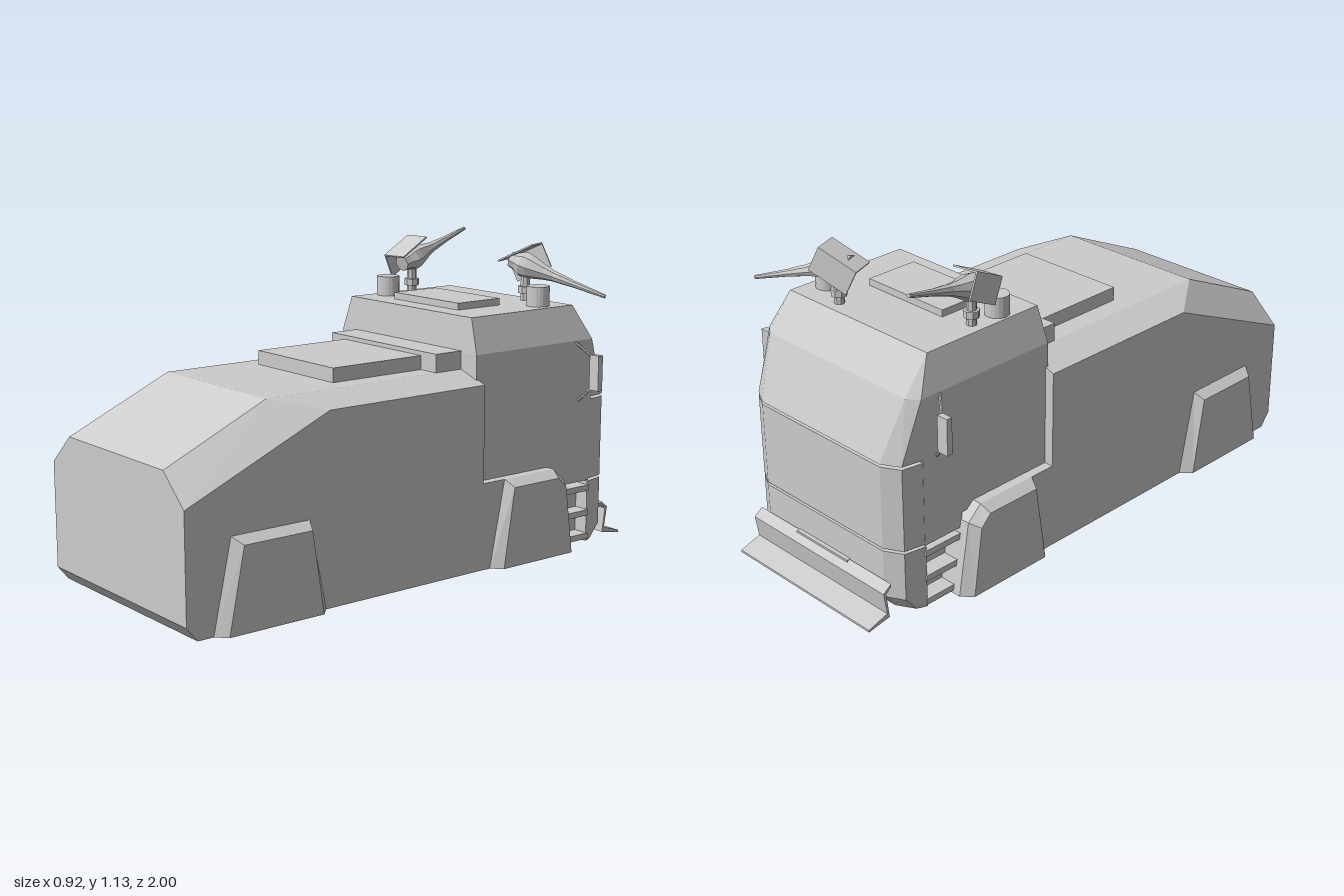
import * as THREE from 'three';
import { ConvexGeometry } from 'three/addons/geometries/ConvexGeometry.js';

const mat = new THREE.MeshStandardMaterial({ color: 0xcccccc, flatShading: true });
const thin = new THREE.MeshStandardMaterial({ color: 0xcccccc, flatShading: true, side: THREE.DoubleSide });

export function createModel() {
  const model = new THREE.Group();
  const add = (name, geo, parent = model, m = mat) => {
    const mesh = new THREE.Mesh(geo, m);
    mesh.name = name;
    parent.add(mesh);
    return mesh;
  };
  // Box from its limits
  const box = (name, x0, x1, y0, y1, z0, z1, parent) =>
    add(name, new THREE.BoxGeometry(x1 - x0, y1 - y0, z1 - z0), parent)
      .position.set((x0 + x1) / 2, (y0 + y1) / 2, (z0 + z1) / 2);
  // Convex solid, symmetric in x
  const hull = (name, pts) =>
    add(name, new ConvexGeometry(pts.flatMap(([x, y, z]) =>
      [new THREE.Vector3(x, y, z), new THREE.Vector3(-x, y, z)])));
  // Side profile of [z, y] points, extruded from x0 to x1
  const slab = (name, pts, x0, x1) => {
    const shape = new THREE.Shape(pts.map(([z, y]) => new THREE.Vector2(-z, y)));
    const g = new THREE.ExtrudeGeometry(shape, { depth: x1 - x0, bevelEnabled: false });
    add(name, g.rotateY(Math.PI / 2).translate(x0, 0, 0));
  };
  const rod = (name, a, b, r) => add(name, new THREE.TubeGeometry(
    new THREE.LineCurve3(new THREE.Vector3(...a), new THREE.Vector3(...b)), 1, r, 6));

  // Wheel arch outlines [z, y], from rear foot to front foot
  const arches = [
    { outer: [[0.9, 0.015], [0.83, 0.33], [0.525, 0.33], [0.46, 0.015]],
      inner: [[0.865, 0.015], [0.805, 0.305], [0.54, 0.305], [0.495, 0.015]] },
    { outer: [[-0.265, 0.015], [-0.33, 0.33], [-0.57, 0.33], [-0.625, 0.28], [-0.67, 0.015]],
      inner: [[-0.3, 0.015], [-0.345, 0.305], [-0.56, 0.305], [-0.6, 0.265], [-0.635, 0.015]] },
  ];

  // Rear body above the wheels
  hull('rearBody', [
    [0.41, 0.305, 1], [0.41, 0.44, 1], [0.295, 0.545, 1], [0.295, 0.72, 0.61], [0.41, 0.68, 0.44],
    [0.41, 0.305, -0.23], [0.41, 0.68, -0.23], [0.295, 0.72, -0.23],
  ]);
  // Lower body: solid spine, with notched strips at the sides for the wheel wells
  slab('underbodySpine', [[1, 0.33], [1, 0.065], [0.96, 0.015], [-0.64, 0.015], [-0.64, 0.33]], -0.1, 0.1);
  const strip = [[1, 0.33], [1, 0.065], [0.96, 0.015], ...arches[0].inner, ...arches[1].inner,
    [-0.67, 0.015], [-0.625, 0.28], [-0.57, 0.33]];
  slab('leftLowerBody', strip, 0.1, 0.41);
  slab('rightLowerBody', strip, -0.41, -0.1);

  // Flared arch panels
  for (const side of [1, -1]) {
    arches.forEach(({ outer, inner }, k) => {
      const pos = [];
      const tri = (a, b, c) => pos.push(...a, ...(side > 0 ? [...b, ...c] : [...c, ...b]));
      const o = outer.map(([z, y]) => [side * 0.41, y, z]);
      const n = inner.map(([z, y]) => [side * 0.447, y, z]);
      for (let i = 0; i < o.length - 1; i++) {
        tri(o[i], n[i], n[i + 1]);
        tri(o[i], n[i + 1], o[i + 1]);
        if (i > 0) tri(n[0], n[i + 1], n[i]);
      }
      const g = new THREE.BufferGeometry();
      g.setAttribute('position', new THREE.Float32BufferAttribute(pos, 3));
      g.computeVertexNormals();
      add(k ? 'frontWheelArch' : 'rearWheelArch', g, model, thin);
    });
  }

  // Cab
  box('cabWalls', -0.375, 0.375, 0.305, 0.57, -0.785, -0.22);
  hull('cabTop', [
    [0.375, 0.565, -0.22], [0.375, 0.78, -0.22], [0.335, 0.905, -0.23], [0.335, 0.905, -0.72],
    [0.375, 0.78, -0.785], [0.335, 0.78, -0.815], [0.375, 0.565, -0.785], [0.36, 0.565, -0.86],
    [0.295, 0.565, -0.895],
  ]);
  // Nose panels, split by narrow gaps over a recessed core
  const nose = (name, y0, y1, cut = 0) => hull(name, [y0, y0 + cut, y1].flatMap((y, i) => {
    const d = i === 0 ? cut * 0.8 : 0;
    return [[0.375, y, -0.78], [0.36, y, -0.86 + d], [0.295, y, -0.895 + d]];
  }));
  nose('noseMiddle', 0.255, 0.555);
  nose('noseBumper', 0.015, 0.245, 0.055);
  box('noseCore', -0.29, 0.29, 0.1, 0.6, -0.88, -0.7);
  box('cabSill', -0.375, 0.375, 0.25, 0.31, -0.785, -0.62);
  box('stepWell', -0.32, 0.32, 0.015, 0.26, -0.785, -0.635);

  // Entry steps and mirrors
  for (const s of [1, -1]) {
    for (const y of [0.025, 0.115, 0.21])
      box('entryStep', s * 0.345 - 0.035, s * 0.345 + 0.035, y, y + 0.022, -0.785, -0.63);
    box('mirror', s * 0.437 - 0.022, s * 0.437 + 0.022, 0.602, 0.732, -0.757, -0.735);
    rod('mirrorUpperArm', [s * 0.365, 0.78, -0.7], [s * 0.425, 0.72, -0.745], 0.005);
    rod('mirrorLowerArm', [s * 0.365, 0.55, -0.72], [s * 0.425, 0.615, -0.745], 0.005);
    box('ploughBracket', s * 0.09 - 0.02, s * 0.09 + 0.02, 0.05, 0.12, -0.92, -0.87);
  }
  box('ploughCrossbar', -0.13, 0.13, 0.1, 0.14, -0.91, -0.88);

  // Plough blade: folded sheet
  slab('ploughBlade', [[-0.9, 0.14], [-0.933, 0.115], [-0.92, 0.035], [-1, 0.01], [-1, 0.002],
    [-0.91, 0.018], [-0.922, 0.11], [-0.9, 0.13]], -0.335, 0.335);

  // Roof boxes, hatches and vents
  box('bodyRoofBox', -0.295, 0.295, 0.7, 0.785, -0.23, -0.105);
  box('bodyRoofHatch', -0.22, 0.215, 0.7, 0.77, -0.11, 0.28);
  box('cabRoofHatch', -0.18, 0.175, 0.9, 0.93, -0.51, -0.31);
  for (const [x, z] of [[-0.285, -0.365], [0.27, -0.61]])
    add('roofVent', new THREE.CylinderGeometry(0.042, 0.042, 0.08, 20)).position.set(x, 0.937, z);

  // Water cannons with corner shields
  const cannon = (name, x, z, yaw, pitch) => {
    const g = new THREE.Group();
    g.name = name;
    g.position.set(x, 1.035, z);
    g.rotation.y = yaw;
    model.add(g);
    add('pedestal', new THREE.CylinderGeometry(0.018, 0.018, 0.13, 8), g).position.y = -0.07;
    add('pedestalCollar', new THREE.CylinderGeometry(0.028, 0.028, 0.025, 8), g).position.y = -0.09;
    const profile = [[0, -0.06], [0.03, -0.06], [0.034, -0.035], [0.048, -0.01], [0.046, 0.015], [0.028, 0.08],
      [0.02, 0.12], [0.018, 0.15], [0.013, 0.2], [0.007, 0.33], [0, 0.33]];
    const barrel = add('barrel', new THREE.LatheGeometry(profile.map(p => new THREE.Vector2(...p)), 8)
      .rotateX(-Math.PI / 2), g);
    barrel.rotation.x = pitch;
    const shield = new THREE.Group();
    shield.name = 'shield';
    shield.rotation.x = 0.45;
    g.add(shield);
    box('shieldTop', -0.05, 0.04, 0.05, 0.056, -0.07, 0.08, shield);
    box('shieldSide', -0.054, -0.048, -0.04, 0.056, -0.07, 0.08, shield);
  };
  cannon('rightCannon', -0.285, -0.48, 0.175, 0.27);
  cannon('leftCannon', 0.14, -0.67, -1.2, -0.29);

  return model;
}
